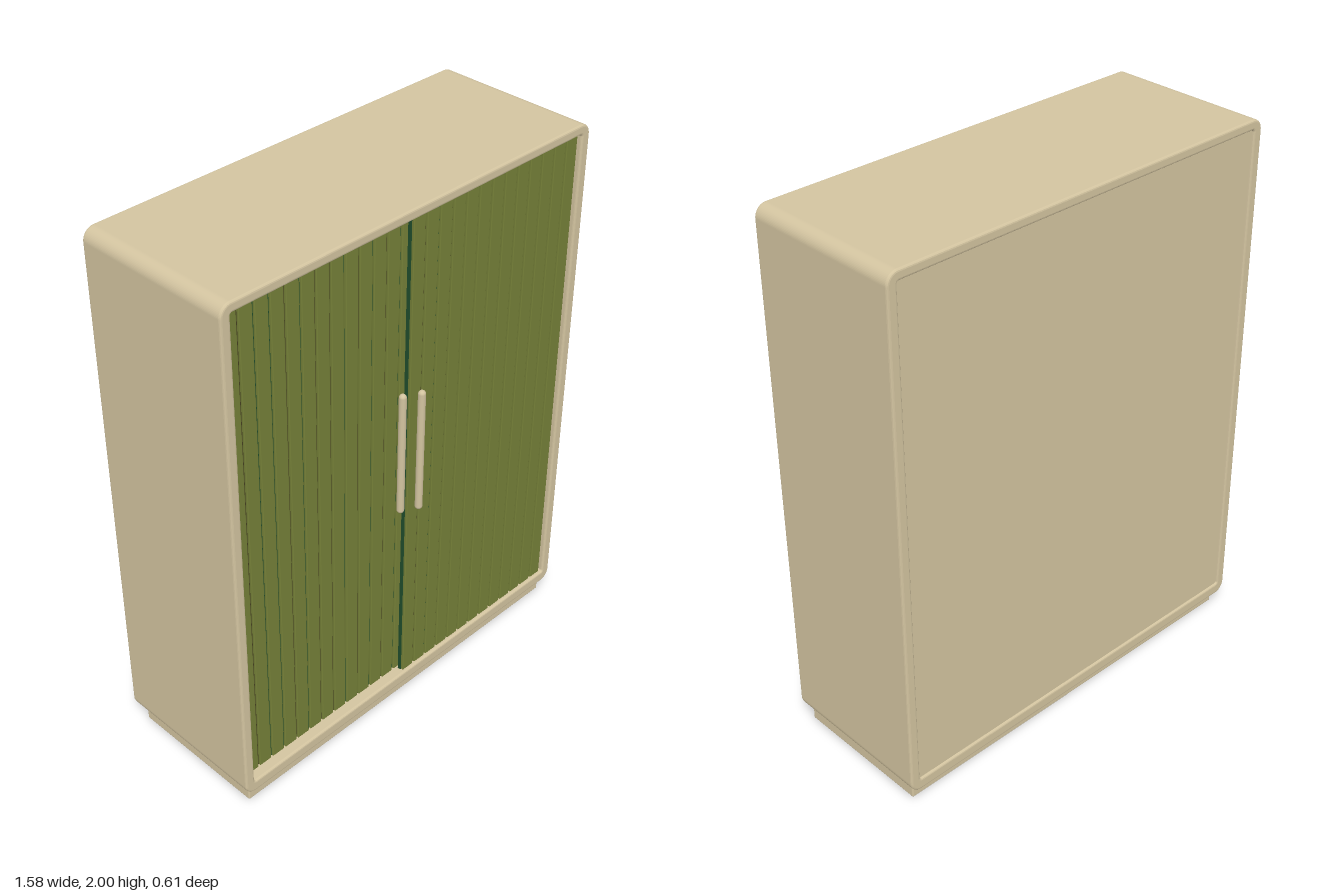
import * as THREE from 'three';
import { RoundedBoxGeometry } from 'three/addons/geometries/RoundedBoxGeometry.js';

const material = (name, color) => {
  const m = new THREE.MeshStandardMaterial({ color });
  m.name = name;
  return m;
};

// Rounded rectangle outline, used for the carcass and its opening
function roundedRect(Type, x0, y0, x1, y1, r) {
  const s = new Type();
  s.absarc(x1 - r, y0 + r, r, -Math.PI / 2, 0);
  s.absarc(x1 - r, y1 - r, r, 0, Math.PI / 2);
  s.absarc(x0 + r, y1 - r, r, Math.PI / 2, Math.PI);
  s.absarc(x0 + r, y0 + r, r, Math.PI, Math.PI * 1.5);
  s.closePath();
  return s;
}

export function createModel() {
  const cabinet = new THREE.Group();
  cabinet.name = 'cabinet';
  const wood = material('pale wood', 0xd3c4a0);
  const green = material('olive green', 0x758038);
  const teal = material('dark green groove', 0x1f4d2c);
  const brown = material('dark brown groove', 0x45401f);

  const add = (parent, name, geometry, mat, x, y, z) => {
    const mesh = new THREE.Mesh(geometry, mat);
    mesh.name = name;
    mesh.position.set(x, y, z);
    parent.add(mesh);
    return mesh;
  };

  // Carcass: a rounded frame running front to back with softened rims
  const b = 0.008;
  const outline = roundedRect(THREE.Shape, -0.79 + b, 0.06 + b, 0.79 - b, 2 - b, 0.035);
  outline.holes.push(roundedRect(THREE.Path, -0.752 - b, 0.105 - b, 0.752 + b, 1.964 + b, 0.016));
  const carcass = new THREE.ExtrudeGeometry(outline, {
    depth: 0.6 - 2 * b, bevelThickness: b, bevelSize: b, bevelSegments: 3, curveSegments: 8,
  });
  add(cabinet, 'carcass', carcass, wood, 0, 0, -0.305 + b);

  // Back panel, slightly inset, and plinth
  add(cabinet, 'backPanel', new THREE.BoxGeometry(1.52, 1.875, 0.02), wood, 0, 1.0345, -0.287);
  add(cabinet, 'plinth', new RoundedBoxGeometry(1.52, 0.08, 0.54, 2, 0.006), wood, 0, 0.04, 0);

  // Two sliding doors of vertical slats, the right-hand one running in front
  const slats = 13, pitch = 0.0593, bottom = 0.105, top = 1.964;
  const height = top - bottom, midY = (top + bottom) / 2;
  const slat = new RoundedBoxGeometry(pitch - 0.008, height, 0.016, 2, 0.003);
  const groove = new THREE.BoxGeometry(pitch, height, 0.012);

  // Half-round bar handle
  const handleGeometry = new THREE.CapsuleGeometry(0.0135, 0.458, 4, 12);

  const makeDoor = (name, x0, front, tones, handleX) => {
    const door = new THREE.Group();
    door.name = name;
    cabinet.add(door);
    for (let i = 0; i < slats; i++) {
      const x = x0 + (i + 0.5) * pitch;
      add(door, 'slat', slat, green, x, midY, front - 0.008);
      // Backing strips centred on the gaps
      add(door, 'groove', groove, tones[i] === 't' ? teal : brown, x - pitch / 2 + (i ? 0 : pitch / 2), midY, front - 0.0145 - (i ? 0 : 0.001));
    }
    add(door, 'grooveEnd', new THREE.BoxGeometry(pitch / 2, height, 0.012), brown,
      x0 + (slats - 0.25) * pitch, midY, front - 0.0145);
    add(door, 'handle', handleGeometry, wood, handleX, 1.081, front + 0.0085);
  };
  makeDoor('backDoor', -0.754, 0.255, 'tbttbtbbtbtbt', -0.031);
  makeDoor('frontDoor', -0.023, 0.283, 'tbtbttbtbbtbt', 0.028);

  return cabinet;
}
